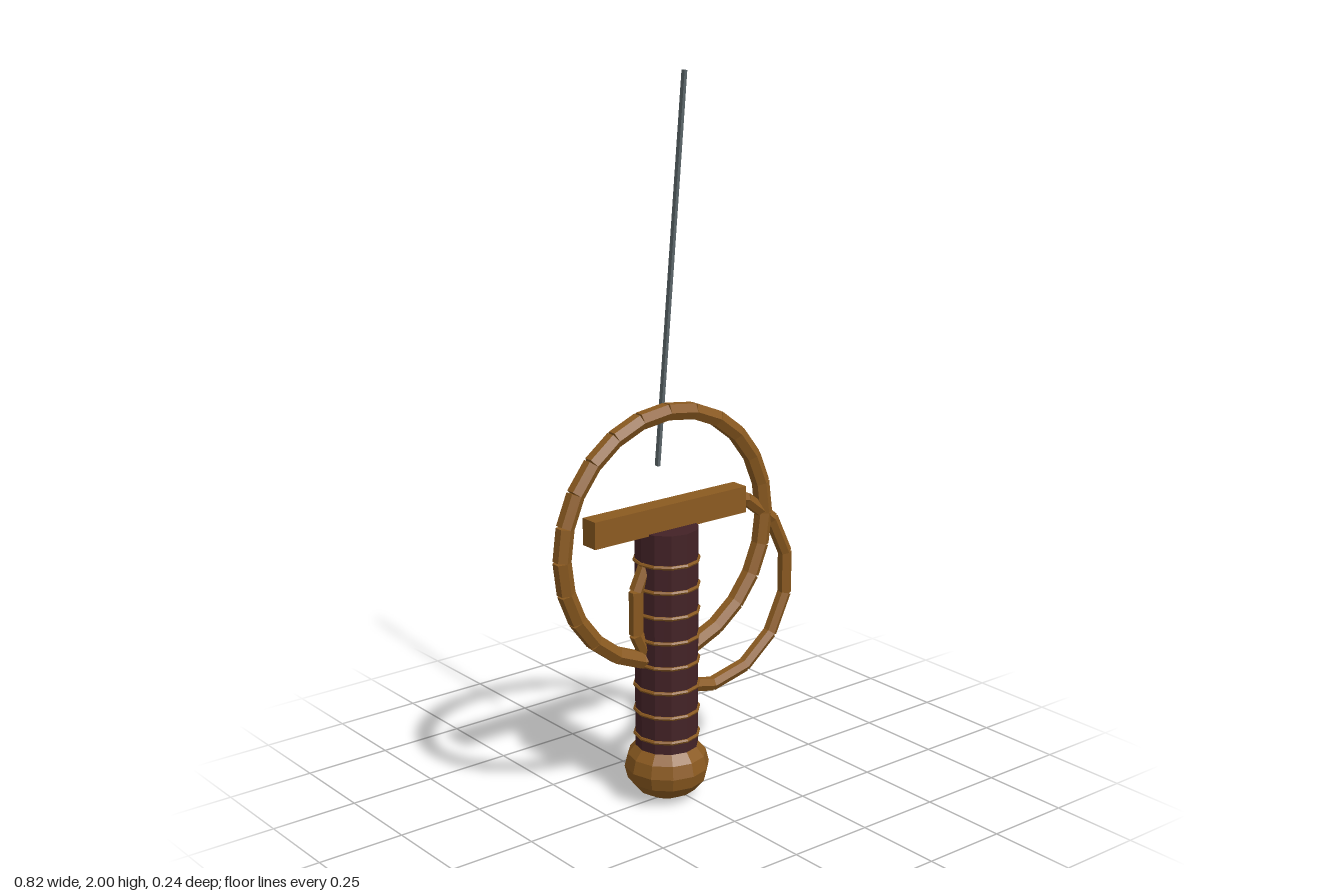
import * as THREE from 'three';

export function createModel() {
  const model = new THREE.Group();
  model.name = 'sword';

  const material = (name, color) => {
    const m = new THREE.MeshStandardMaterial({ color, flatShading: true });
    m.name = name;
    return m;
  };
  const brass = material('brass', 0x8b5a20);
  const leather = material('darkLeather', 0x432226);
  const steel = material('steel', 0x5a6468);

  const add = (parent, name, geometry, mat, x = 0, y = 0, z = 0) => {
    const mesh = new THREE.Mesh(geometry, mat);
    mesh.name = name;
    mesh.position.set(x, y, z);
    parent.add(mesh);
    return mesh;
  };

  // A hoop made of straight six-sided rods laid along a circle in the xy plane
  const addHoop = (name, cx, cy, radius, rod, sides, first, count) => {
    const hoop = new THREE.Group();
    hoop.name = name;
    hoop.position.set(cx, cy, 0);
    const step = (Math.PI * 2) / sides;
    const length = 2 * radius * Math.sin(step / 2);
    const mid = radius * Math.cos(step / 2);
    const geometry = new THREE.CylinderGeometry(rod, rod, length, 6);
    for (let i = 0; i < count; i++) {
      const a = Math.PI / 2 - (first + i + 0.5) * step;
      const piece = add(hoop, name + 'Rod', geometry, brass, mid * Math.cos(a), mid * Math.sin(a));
      piece.rotation.z = a;
    }
    model.add(hoop);
  };

  const axis = -0.037;

  // Squashed pommel
  const pommel = new THREE.SphereGeometry(0.119, 12, 8);
  pommel.scale(1, 0.8, 1);
  add(model, 'pommel', pommel, brass, axis, 0.0955);

  // Grip with wire bands
  add(model, 'grip', new THREE.CylinderGeometry(0.088, 0.088, 0.635, 12), leather, axis, 0.4725);
  const band = new THREE.TorusGeometry(0.088, 0.006, 6, 12);
  band.rotateX(Math.PI / 2);
  for (let i = 0; i < 8; i++) add(model, 'gripBand', band, brass, axis, 0.193 + i * 0.0725);

  // Crossguard, round guard and knuckle bow
  add(model, 'crossguard', new THREE.BoxGeometry(0.52, 0.075, 0.054), brass, axis, 0.8225);
  addHoop('roundGuard', axis, 0.763, 0.348, 0.025, 24, 0, 24);
  addHoop('knuckleBow', 0.126, 0.566, 0.275, 0.02, 14, 0, 13);

  // Slim leaning blade
  const lean = Math.atan2(0.092, 1.048);
  const blade = add(model, 'blade', new THREE.BoxGeometry(0.009, 1.052, 0.013), steel, 0.009, 1.476, -0.038);
  blade.rotation.z = -lean;

  return model;
}
